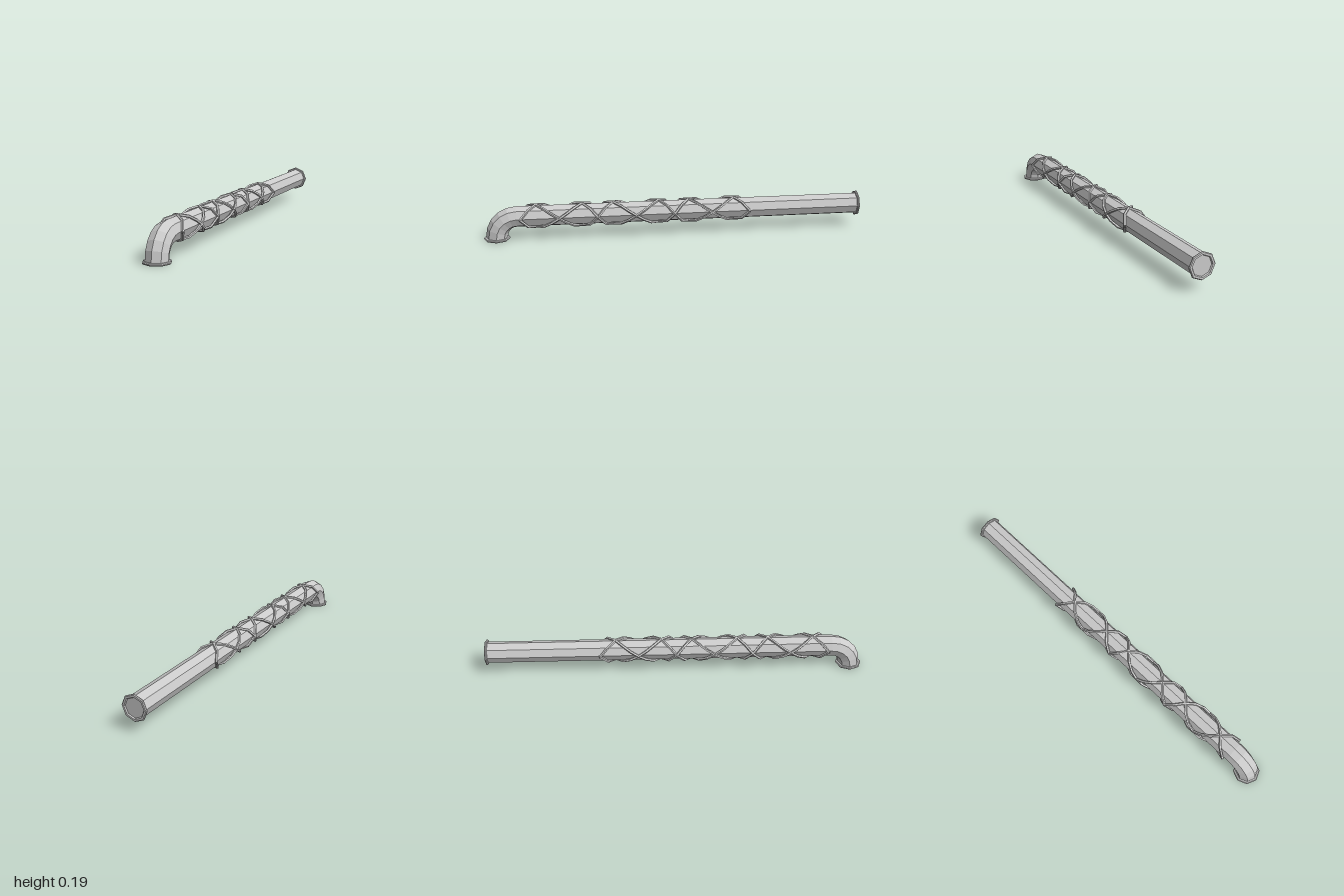
import * as THREE from 'three';

const SIDES = 8;
const PIPE_R = 0.056;
const AXIS_Y = 0.12;

const material = new THREE.MeshStandardMaterial({ color: 0xcccccc, flatShading: true, side: THREE.DoubleSide });

function add(parent, name, geometry) {
  const mesh = new THREE.Mesh(geometry, material);
  mesh.name = name;
  parent.add(mesh);
  return mesh;
}

// Octagonal pipe: long straight run, quarter bend, short outlet pointing down
function pipeGeometry() {
  const bendR = 0.105, bendZ = 0.82, bendY = AXIS_Y - bendR, steps = 5;
  const rings = [{ y: AXIS_Y, z: -0.994, t: 0 }];
  for (let i = 0; i <= steps; i++) {
    const t = (i / steps) * Math.PI / 2;
    rings.push({ y: bendY + bendR * Math.cos(t), z: bendZ + bendR * Math.sin(t), t });
  }
  rings.push({ y: 0.006, z: bendZ + bendR, t: Math.PI / 2 });

  const positions = [], index = [];
  rings.forEach(({ y, z, t }, i) => {
    for (let j = 0; j < SIDES; j++) {
      const a = (j / SIDES) * Math.PI * 2;
      const out = PIPE_R * Math.cos(a);
      positions.push(PIPE_R * Math.sin(a), y + out * Math.cos(t), z + out * Math.sin(t));
      if (i === 0) continue;
      const p = (i - 1) * SIDES + j, q = (i - 1) * SIDES + (j + 1) % SIDES;
      index.push(p, p + SIDES, q, q, p + SIDES, q + SIDES);
    }
  });
  const g = new THREE.BufferGeometry();
  g.setAttribute('position', new THREE.Float32BufferAttribute(positions, 3));
  g.setIndex(index);
  g.computeVertexNormals();
  return g;
}

// Bevelled octagonal ring around each pipe end
function flangeGeometry() {
  const profile = [[0.054, -0.006], [0.064, -0.006], [0.068, -0.002], [0.068, 0.002],
    [0.064, 0.006], [0.054, 0.006], [0.05, 0], [0.054, -0.006]];
  return new THREE.LatheGeometry(profile.map(([x, y]) => new THREE.Vector2(x, y)), SIDES);
}

// Strand winding three turns around the pipe, lingering at the sides
class Strand extends THREE.Curve {
  constructor(sideSign, upSign) {
    super();
    this.sideSign = sideSign;
    this.upSign = upSign;
  }
  getPoint(u, target = new THREE.Vector3()) {
    const s = u * 3 * Math.PI * 2;
    const a = s + 0.33 * Math.sin(s);
    return target.set(
      this.sideSign * 0.065 * Math.cos(a),
      AXIS_Y + this.upSign * 0.06 * Math.sin(a),
      0.8 - 1.2 * u
    );
  }
  // Even steps along the pipe instead of even arc length
  getPointAt(u, target) { return this.getPoint(u, target); }
  getTangentAt(u, target) { return this.getTangent(u, target); }
}

export function createModel() {
  const model = new THREE.Group();
  model.name = 'bentPipe';

  add(model, 'pipe', pipeGeometry());

  const cap = add(model, 'backCap', new THREE.CircleGeometry(PIPE_R, SIDES));
  cap.position.set(0, AXIS_Y, -0.993);
  cap.rotation.y = Math.PI;

  const backFlange = add(model, 'backFlange', flangeGeometry());
  backFlange.position.set(0, AXIS_Y, -0.994);
  backFlange.rotation.x = Math.PI / 2;

  const outletFlange = add(model, 'outletFlange', flangeGeometry());
  outletFlange.position.set(0, 0.006, 0.925);

  // Four crossing strands form the lattice wrap
  const wrap = new THREE.Group();
  wrap.name = 'latticeWrap';
  model.add(wrap);
  for (const side of [1, -1]) {
    for (const up of [1, -1]) {
      add(wrap, `${side > 0 ? 'left' : 'right'}${up > 0 ? 'Rising' : 'Falling'}Strand`,
        new THREE.TubeGeometry(new Strand(side, up), 30, 0.0075, 5, false));
    }
  }
  return model;
}
